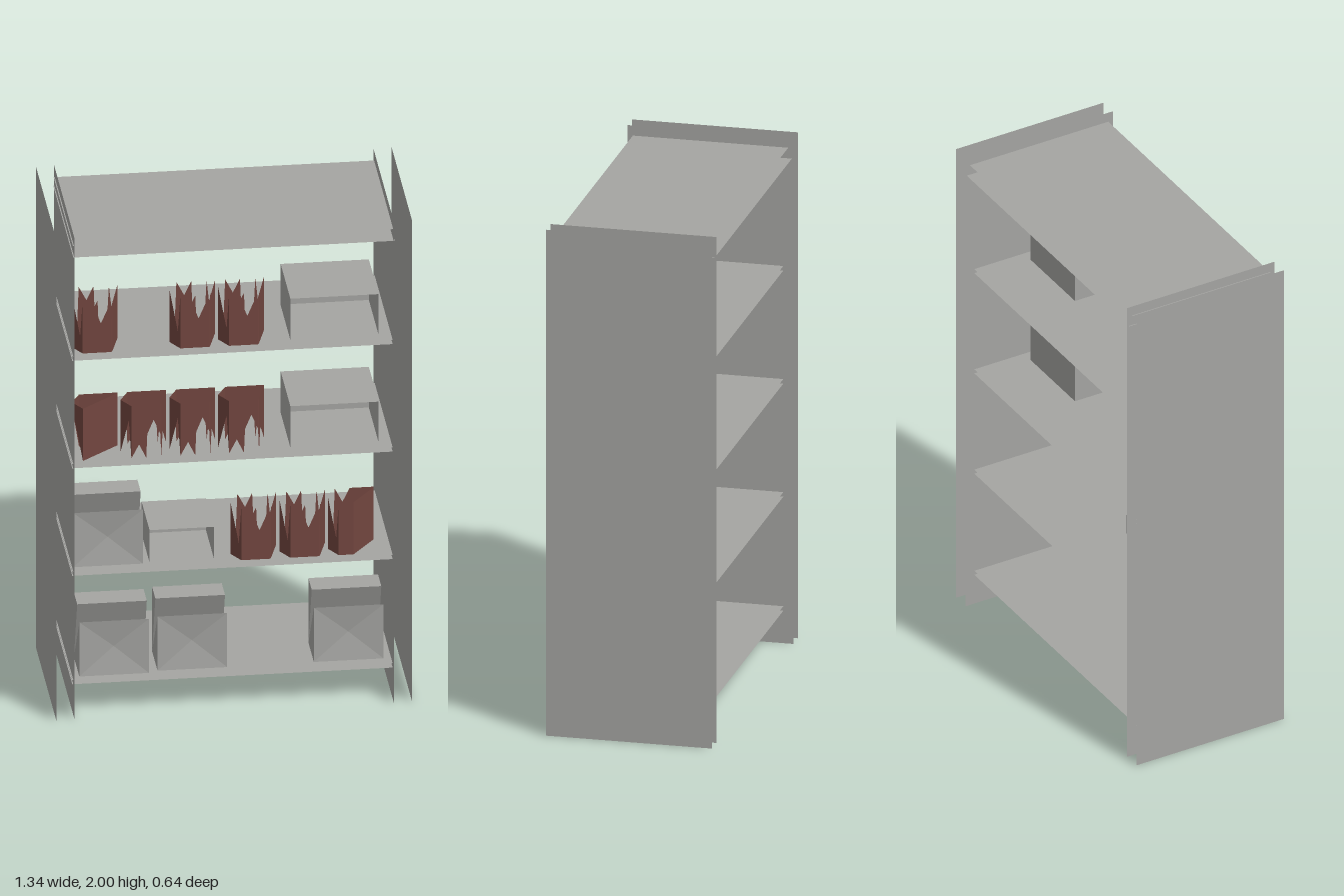
import * as THREE from 'three';

const grey = new THREE.MeshStandardMaterial({ color: 0xa5a5a2, side: THREE.DoubleSide });
grey.name = 'shelf grey';
const red = new THREE.MeshStandardMaterial({ color: 0x72463f, side: THREE.DoubleSide });
red.name = 'book red brown';

// Flat-shaded mesh from a list of corner loops (triangles or quads)
function sheets(name, faces, material) {
  const pos = [];
  for (const f of faces) {
    for (let i = 1; i < f.length - 1; i++) pos.push(...f[0], ...f[i], ...f[i + 1]);
  }
  const g = new THREE.BufferGeometry();
  g.setAttribute('position', new THREE.Float32BufferAttribute(pos, 3));
  g.computeVertexNormals();
  const m = new THREE.Mesh(g, material);
  m.name = name;
  return m;
}

// Upright side sheet facing +x or -x
function sidePanel(x, face) {
  const m = new THREE.Mesh(new THREE.PlaneGeometry(0.64, 2), grey);
  m.rotation.y = face * Math.PI / 2;
  m.position.set(x, 1, 0);
  m.name = 'sidePanel';
  return m;
}

// Level sheet facing up or down
function shelfSheet(y, depth, up) {
  const m = new THREE.Mesh(new THREE.PlaneGeometry(1.214, depth), grey);
  m.rotation.x = -up * Math.PI / 2;
  m.position.y = y;
  m.name = up > 0 ? 'shelfTop' : 'shelfUnderside';
  return m;
}

// Box with an open front
function openBox(x0, x1, y, h, z0, z1) {
  const t = y + h;
  return sheets('openBox', [
    [[x0, y, z1], [x0, t, z1], [x0, t, z0], [x0, y, z0]],
    [[x1, y, z0], [x1, t, z0], [x1, t, z1], [x1, y, z1]],
    [[x0, t, z1], [x1, t, z1], [x1, t, z0], [x0, t, z0]],
    [[x1, y, z0], [x0, y, z0], [x0, t, z0], [x1, t, z0]],
    [[x0, y + 0.003, z1], [x1, y + 0.003, z1], [x1, y + 0.003, z0], [x0, y + 0.003, z0]],
  ], grey);
}

// Bin: rear wedge and front wedge meeting at the bottom back edge, with a dished front
function bin(x0, y, zf) {
  const x1 = x0 + 0.263, t = y + 0.268, p = y + 0.225, zm = zf - 0.068, zb = zf - 0.17;
  const g = new THREE.Group();
  g.name = 'bin';
  g.add(sheets('binBody', [
    [[x0, y, zb], [x0, t, zm], [x0, t, zb]],
    [[x1, y, zb], [x1, t, zb], [x1, t, zm]],
    [[x0, y, zb], [x0, y, zf], [x0, p, zf]],
    [[x1, y, zb], [x1, p, zf], [x1, y, zf]],
    [[x0, t, zm], [x1, t, zm], [x1, t, zb], [x0, t, zb]],
    [[x1, y, zb], [x0, y, zb], [x0, t, zb], [x1, t, zb]],
    [[x0, y, zb], [x1, y, zb], [x1, t, zm], [x0, t, zm]],
  ], grey));
  const c = [(x0 + x1) / 2, (y + p) / 2, zf - 0.015];
  const k = [[x0, y, zf], [x1, y, zf], [x1, p, zf], [x0, p, zf]];
  g.add(sheets('binFront', k.map((a, i) => [a, k[(i + 1) % 4], c]), grey));
  return g;
}

// Jagged book edges: [distance along x, share of the height]
const jagged = [[0, 1], [0.026, 0.3], [0.034, 1], [0.063, 0.74], [0.09, 1], [0.094, 0.55],
  [0.118, 0.28], [0.143, 0.55], [0.148, 1], [0.157, 0.6], [0.18, 1]];
const wedge = [[0, 0.06], [0.035, 1], [0.18, 1]];
const halfSolid = [...jagged.slice(0, 5), [0.18, 1]];

// Hollow bundle of books; flipped ones hang their points downward
function books(x0, y, flip = false, profile = jagged) {
  const H = 0.217, faces = [];
  const base = flip ? y + H : y, dir = flip ? -1 : 1;
  // front and back walls bend together at the ends
  const zFront = (u) => u < 0.034 ? 0.2 + 0.06 * u / 0.034 : u > 0.145 ? 0.26 - 0.12 * (u - 0.145) / 0.035 : 0.26;
  const zBack = (u) => u < 0.034 ? 0.2 - 0.065 * u / 0.034 : 0.135;
  for (const zAt of [zFront, zBack]) {
    for (let i = 0; i < profile.length - 1; i++) {
      const [u, a] = profile[i], [v, b] = profile[i + 1];
      faces.push([
        [x0 + u, base, zAt(u)], [x0 + v, base, zAt(v)],
        [x0 + v, base + dir * b * H, zAt(v)], [x0 + u, base + dir * a * H, zAt(u)],
      ]);
    }
  }
  return sheets('books', faces, red);
}

export function createModel() {
  const model = new THREE.Group();
  model.name = 'bookcase';

  // Sides, each an inner and an outer sheet
  for (const s of [-1, 1]) model.add(sidePanel(s * 0.672, s), sidePanel(s * 0.603, -s));

  // Shelves, each an upper and a lower sheet
  const levels = [0.146, 0.597, 1.044, 1.491];
  for (const y of levels) model.add(shelfSheet(y, 0.562, 1), shelfSheet(y - 0.018, 0.562, -1));
  model.add(shelfSheet(1.96, 0.6, 1), shelfSheet(1.918, 0.628, -1));
  const [l1, l2, l3, l4] = levels;

  // Bins
  model.add(bin(-0.577, l1, 0.255), bin(-0.28, l1, 0.24), bin(0.311, l1, 0.235), bin(-0.599, l2, 0.245));

  // Open boxes
  model.add(openBox(-0.31, -0.067, l2, 0.135, -0.01, 0.24));
  for (const y of [l3, l4]) model.add(openBox(0.222, 0.555, y, 0.172, -0.066, 0.238));

  // Books
  for (const x of [0, 0.185]) model.add(books(x, l2));
  model.add(books(0.368, l2, false, halfSolid));
  model.add(books(-0.599, l3, true, wedge));
  for (const x of [-0.415, -0.23, -0.046]) model.add(books(x, l3, true));
  for (const x of [-0.599, -0.23, -0.046]) model.add(books(x, l4));

  return model;
}
